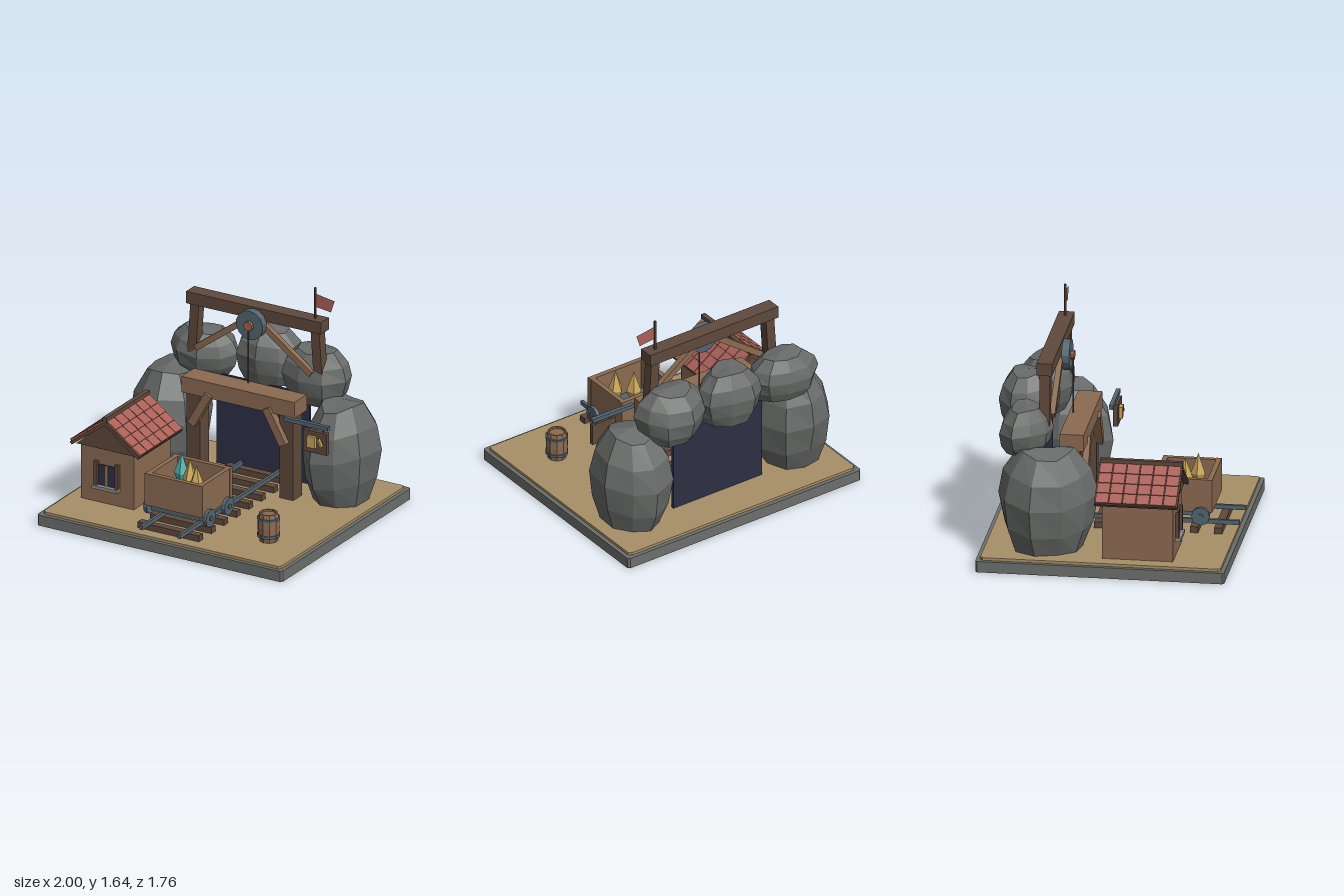
import * as THREE from 'three';

const mat = (color) => new THREE.MeshStandardMaterial({ color, flatShading: true });
const M = {
  stone: mat(0x6c6f6c), rock: mat(0x686b69), sand: mat(0xa89068), wood: mat(0x8b6a51), dark: mat(0x5f493c),
  steel: mat(0x526570), red: mat(0xaa6058), gold: mat(0xc9a658), teal: mat(0x4fb3b3), cave: mat(0x2d2f45),
  copper: mat(0xa0624f), sill: mat(0x8a8a84),
};
M.flag = mat(0xaa6058);
M.flag.side = THREE.DoubleSide;

export function createModel() {
  const model = new THREE.Group();

  const add = (name, geo, m, x = 0, y = 0, z = 0, parent = model) => {
    const mesh = new THREE.Mesh(geo, m);
    mesh.name = name;
    mesh.position.set(x, y, z);
    parent.add(mesh);
    return mesh;
  };
  // Box given by its limits on each axis
  const box = (name, m, x0, x1, y0, y1, z0, z1, parent = model) =>
    add(name, new THREE.BoxGeometry(x1 - x0, y1 - y0, z1 - z0), m,
      (x0 + x1) / 2, (y0 + y1) / 2, (z0 + z1) / 2, parent);
  // Beam between two points in a plane of constant z
  const beam = (name, m, xa, ya, xb, yb, z, width, depth) => {
    const len = Math.hypot(xb - xa, yb - ya);
    const b = add(name, new THREE.BoxGeometry(width, len, depth), m, (xa + xb) / 2, (ya + yb) / 2, z);
    b.rotation.z = Math.atan2(yb - ya, xb - xa) - Math.PI / 2;
    return b;
  };
  const disc = (name, m, r, depth, sides, axis, x, y, z, parent = model) => {
    const d = add(name, new THREE.CylinderGeometry(r, r, depth, sides), m, x, y, z, parent);
    if (axis === 'x') d.rotation.z = Math.PI / 2;
    if (axis === 'z') d.rotation.x = Math.PI / 2;
    return d;
  };

  // Plinth and ground with chipped corners
  const slab = (name, m, w, d, c, y, h) => {
    const s = new THREE.Shape([[w - c, -d], [w, c - d], [w, d - c], [w - c, d], [c - w, d], [-w, d - c], [-w, c - d], [c - w, -d]]
      .map(([x, z]) => new THREE.Vector2(x, z)));
    const geo = new THREE.ExtrudeGeometry(s, { depth: h, bevelEnabled: false }).rotateX(-Math.PI / 2);
    add(name, geo, m, 0, y, 0);
  };
  slab('plinth', M.stone, 1, 0.88, 0.015, 0, 0.08);
  slab('ground', M.sand, 0.97, 0.85, 0.02, 0.08, 0.02);

  // Faceted boulders: a turned profile pushed in and out by angle
  const boulder = (name, x, z, y0, y1, rx, rz, seed) => {
    const profile = [[0, 0], [0.7, 0], [0.9, 0.22], [1, 0.5], [0.88, 0.74], [0.55, 0.96], [0, 1]];
    const geo = new THREE.LatheGeometry(profile.map(([r, y]) => new THREE.Vector2(r, y)), 9, seed);
    const p = geo.attributes.position;
    for (let i = 0; i < p.count; i++) {
      const a = Math.atan2(p.getZ(i), p.getX(i)), y = p.getY(i);
      const k = 1 + 0.06 * Math.sin(3 * a + seed * 2 + y * 2) + 0.04 * Math.cos(2 * a - seed);
      const lift = y > 0.1 && y < 0.98 ? 0.035 * Math.sin(2 * a + seed * 3) : 0;
      p.setXYZ(i, p.getX(i) * k * rx, (y + lift) * (y1 - y0), p.getZ(i) * k * rz);
    }
    geo.computeVertexNormals();
    add(name, geo, M.rock, x, y0, z);
  };
  boulder('leftBoulder', 0.69, -0.46, 0.1, 0.84, 0.26, 0.335, 0.4);
  boulder('rightBoulder', -0.69, -0.42, 0.1, 0.84, 0.28, 0.345, 1.7);
  boulder('upperLeftBoulder', 0.42, -0.58, 0.74, 1.14, 0.28, 0.2, 2.6);
  boulder('upperRightBoulder', -0.52, -0.59, 0.76, 1.09, 0.265, 0.19, 0.9);
  boulder('topBoulder', -0.02, -0.65, 0.77, 1.18, 0.265, 0.19, 3.5);

  // Mine entrance
  box('tunnelBack', M.cave, -0.38, 0.38, 0.1, 0.78, -0.55, -0.53);
  box('gateLintel', M.wood, -0.46, 0.46, 0.74, 0.86, -0.36, -0.19);
  for (const s of [-1, 1]) {
    box('gatePost', M.dark, s * 0.38 - 0.055, s * 0.38 + 0.055, 0.1, 0.74, -0.335, -0.215);
    beam('gateBrace', M.wood, s * 0.375, 0.52, s * 0.235, 0.77, -0.2, 0.06, 0.06);
  }

  // Headframe with winding wheel, rope and flag
  box('headBeam', M.dark, -0.55, 0.55, 1.32, 1.41, -0.51, -0.4);
  for (const s of [-1, 1]) {
    beam('headLeg', M.dark, s * 0.52, 0.9, s * 0.49, 1.34, -0.455, 0.07, 0.075);
    beam('headBrace', M.wood, s * 0.47, 1.0, s * 0.06, 1.3, -0.41, 0.045, 0.04);
  }
  disc('windingWheel', M.steel, 0.11, 0.055, 14, 'z', 0, 1.29, -0.372);
  disc('wheelHub', M.copper, 0.035, 0.03, 10, 'z', 0, 1.29, -0.335);
  disc('rope', M.dark, 0.006, 0.44, 6, 'y', 0, 1.07, -0.33);
  disc('flagPole', M.dark, 0.009, 0.26, 6, 'y', 0.47, 1.51, -0.455);
  const flag = new THREE.Shape([[0.475, 1.595], [0.63, 1.57], [0.6, 1.48], [0.475, 1.495]]
    .map(([x, y]) => new THREE.Vector2(x, y)));
  add('flag', new THREE.ShapeGeometry(flag), M.flag, 0, 0, -0.455);

  // Track
  for (let i = 0; i < 8; i++) {
    const z = 0.73 - i * 0.17;
    box('sleeper', M.dark, -0.25, 0.25, 0.1, 0.145, z - 0.028, z + 0.028);
  }
  for (const s of [-1, 1]) box('rail', M.steel, s * 0.155 - 0.011, s * 0.155 + 0.011, 0.143, 0.175, -0.5, 0.87);

  // Ore cart
  const cart = new THREE.Group();
  cart.name = 'oreCart';
  model.add(cart);
  box('cartFloor', M.steel, -0.2, 0.2, 0.21, 0.27, 0.3, 0.66, cart);
  for (const s of [-1, 1]) {
    box('cartSide', M.wood, s * 0.213 - 0.018, s * 0.213 + 0.018, 0.25, 0.49, 0.285, 0.675, cart);
    const z = 0.48 + s * 0.188;
    box('cartEnd', M.wood, -0.235, 0.235, 0.25, 0.49, z - 0.018, z + 0.018, cart);
    const az = 0.48 + s * 0.126;
    disc('axle', M.steel, 0.015, 0.48, 8, 'x', 0, 0.225, az, cart);
    for (const t of [-1, 1]) {
      disc('cartWheel', M.steel, 0.065, 0.028, 12, 'x', t * 0.243, 0.225, az, cart);
      disc('wheelCap', M.steel, 0.02, 0.01, 8, 'x', t * 0.26, 0.225, az, cart);
    }
  }
  for (const [x, z, m] of [[-0.11, 0.39, M.teal], [0, 0.46, M.gold], [0.1, 0.54, M.gold]]) {
    const profile = [[0, -0.15], [0.055, 0], [0, 0.15]].map(([r, y]) => new THREE.Vector2(r, y));
    add('crystal', new THREE.LatheGeometry(profile, 5, x * 9), m, x, 0.42, z, cart);
  }

  // Hut
  const hut = new THREE.Group();
  hut.name = 'hut';
  hut.position.set(-0.65, 0, 0);
  model.add(hut);
  box('hutWalls', M.wood, -0.215, 0.215, 0.1, 0.52, 0, 0.5, hut);
  const gable = new THREE.Shape([[-0.25, 0.51], [0.25, 0.51], [0, 0.72]].map(([x, y]) => new THREE.Vector2(x, y)));
  add('gable', new THREE.ExtrudeGeometry(gable, { depth: 0.52, bevelEnabled: false }), M.dark, 0, 0, -0.01, hut);
  for (const s of [-1, 1]) {
    const slope = new THREE.Group();
    slope.name = 'roofSlope';
    slope.position.set(0, 0.73, 0.245);
    slope.rotation.z = -s * 0.645;
    hut.add(slope);
    add('roofDeck', new THREE.BoxGeometry(0.35, 0.025, 0.59), M.dark, s * 0.175, -0.005, 0, slope);
    for (let r = 0; r < 4; r++) for (let c = 0; c < 6; c++) {
      const tile = add('roofTile', new THREE.BoxGeometry(0.083, 0.014, 0.09), M.red,
        s * (0.05 + r * 0.084), 0.013, (c - 2.5) * 0.096, slope);
      tile.rotation.z = s * 0.06;
    }
  }
  box('roofRidge', M.dark, -0.017, 0.017, 0.725, 0.768, -0.045, 0.54, hut);
  box('windowPane', M.cave, -0.07, 0.07, 0.23, 0.39, 0.495, 0.508, hut);
  box('windowBar', M.gold, -0.006, 0.006, 0.23, 0.39, 0.505, 0.516, hut);
  box('windowSill', M.sill, -0.105, 0.1, 0.21, 0.235, 0.495, 0.54, hut);
  for (const s of [-1, 1]) box('shutter', M.dark, s * 0.085 - 0.015, s * 0.085 + 0.015, 0.235, 0.415, 0.495, 0.525, hut);

  // Barrel
  const staves = [[0, 0], [0.066, 0], [0.078, 0.06], [0.08, 0.105], [0.078, 0.15], [0.066, 0.21], [0.055, 0.21], [0.055, 0.195], [0, 0.195]];
  add('barrel', new THREE.LatheGeometry(staves.map(([r, y]) => new THREE.Vector2(r, y)), 10), M.wood, 0.65, 0.1, 0.475);
  for (const y of [0.145, 0.268]) disc('barrelHoop', M.steel, 0.083, 0.02, 10, 'y', 0.65, y, 0.475);

  // Hanging sign
  box('signArm', M.steel, 0.42, 0.78, 0.74, 0.77, -0.14, -0.11);
  for (const x of [0.62, 0.74]) box('signHanger', M.steel, x - 0.006, x + 0.006, 0.71, 0.75, -0.13, -0.118);
  box('signBoard', M.dark, 0.583, 0.777, 0.557, 0.72, -0.135, -0.1);
  box('signPlate', M.gold, 0.63, 0.695, 0.6, 0.685, -0.1, -0.075);
  beam('signStick', M.gold, 0.742, 0.62, 0.715, 0.675, -0.09, 0.016, 0.025);

  return model;
}
